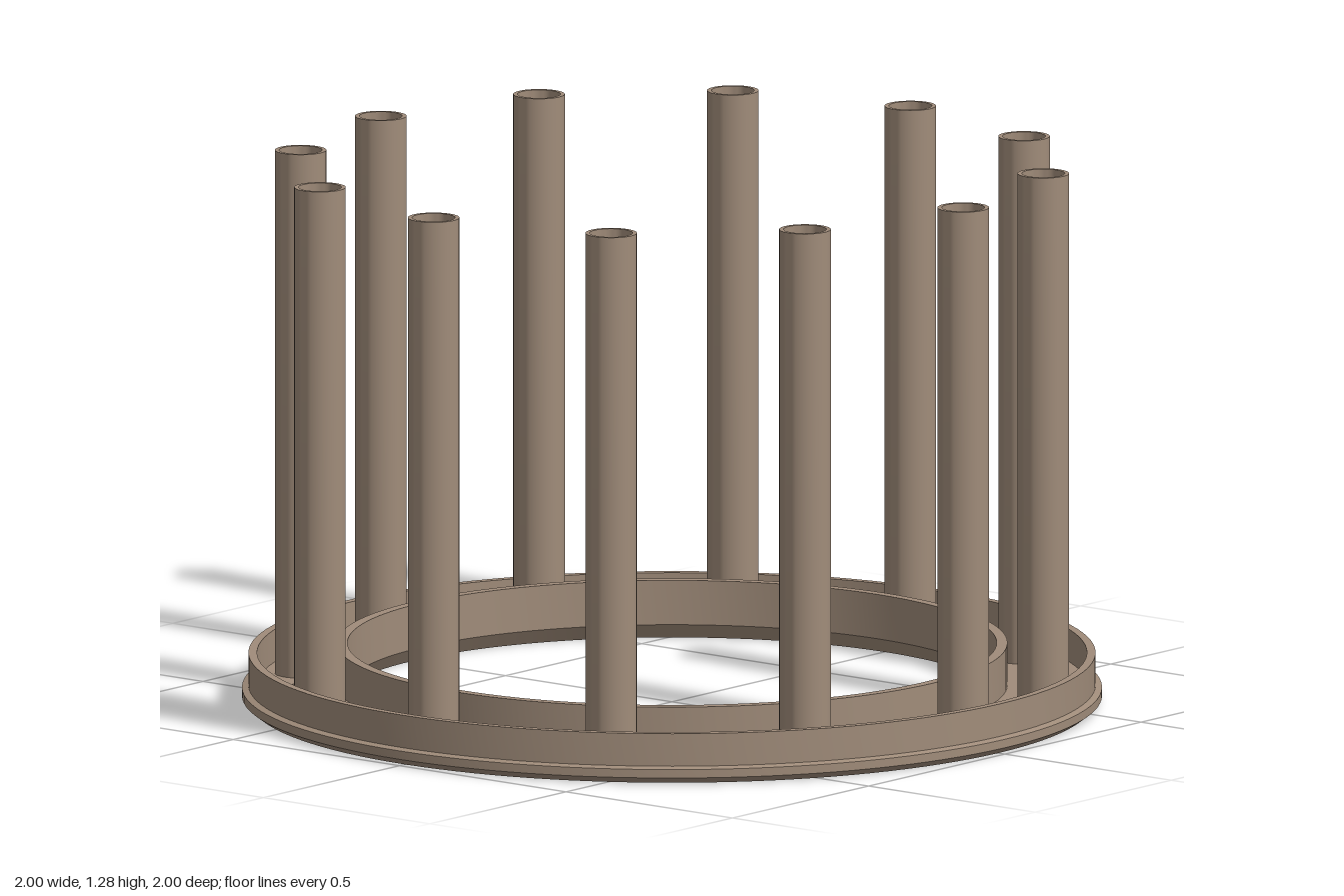
import * as THREE from 'three';
import { toCreasedNormals } from 'three/addons/utils/BufferGeometryUtils.js';

const FLOOR = 0.04, PITCH = 0.875, TUBE_R = 0.06, BORE = 0.05, SCREW = 0.02;

// Revolve an [radius, height] profile, keeping its corners sharp
function revolve(profile, segments) {
  const points = profile.map(([r, y]) => new THREE.Vector2(r, y));
  return toCreasedNormals(new THREE.LatheGeometry(points, segments), 0.5);
}

// Flat annulus pierced by the tube bores and screw holes
function plateFace(inner, outer, holes) {
  const shape = new THREE.Shape().absarc(0, 0, outer, 0, Math.PI * 2);
  shape.holes.push(new THREE.Path().absarc(0, 0, inner, 0, Math.PI * 2, true));
  for (const h of holes) shape.holes.push(new THREE.Path().absarc(h.x, h.z, h.r, 0, Math.PI * 2, true));
  return new THREE.ShapeGeometry(shape, 64);
}

export function createModel() {
  const group = new THREE.Group();
  const material = new THREE.MeshStandardMaterial({ color: 0xa08c7a });
  const add = (name, geometry) => {
    const mesh = new THREE.Mesh(geometry, material);
    mesh.name = name;
    group.add(mesh);
    return mesh;
  };

  // One hole every 10 degrees: every third is a tube bore
  const holes = Array.from({ length: 36 }, (_, i) => {
    const a = (i * Math.PI) / 18;
    return { x: PITCH * Math.cos(a), z: PITCH * Math.sin(a), r: i % 3 ? SCREW : BORE };
  });

  // Base ring: floor channel between the two rims
  const top = add('channelFloor', plateFace(0.78, 0.965, holes));
  top.rotation.x = -Math.PI / 2;
  top.position.y = FLOOR;
  add('underside', plateFace(0.78, 0.98, holes)).rotation.x = Math.PI / 2;

  // Outer rim with bevelled bottom lip
  add('outerRim', revolve([[0.98, 0], [1, 0.015], [1, 0.035], [0.985, 0.04],
    [0.985, 0.117], [0.965, 0.117], [0.965, FLOOR]], 128));
  // Taller inner rim, chamfered underneath
  add('innerRim', revolve([[0.78, FLOOR], [0.78, 0.14], [0.755, 0.14],
    [0.755, 0.035], [0.78, 0]], 128));

  // Hollow upright tubes and the walls of the screw holes
  const tube = revolve([[TUBE_R, FLOOR], [TUBE_R, 1.28], [BORE, 1.28], [BORE, 0]], 40);
  const screwWall = revolve([[SCREW, FLOOR], [SCREW, 0]], 24);
  for (const h of holes) {
    const isTube = h.r === BORE;
    add(isTube ? 'tube' : 'screwHole', isTube ? tube : screwWall).position.set(h.x, 0, h.z);
  }
  return group;
}
